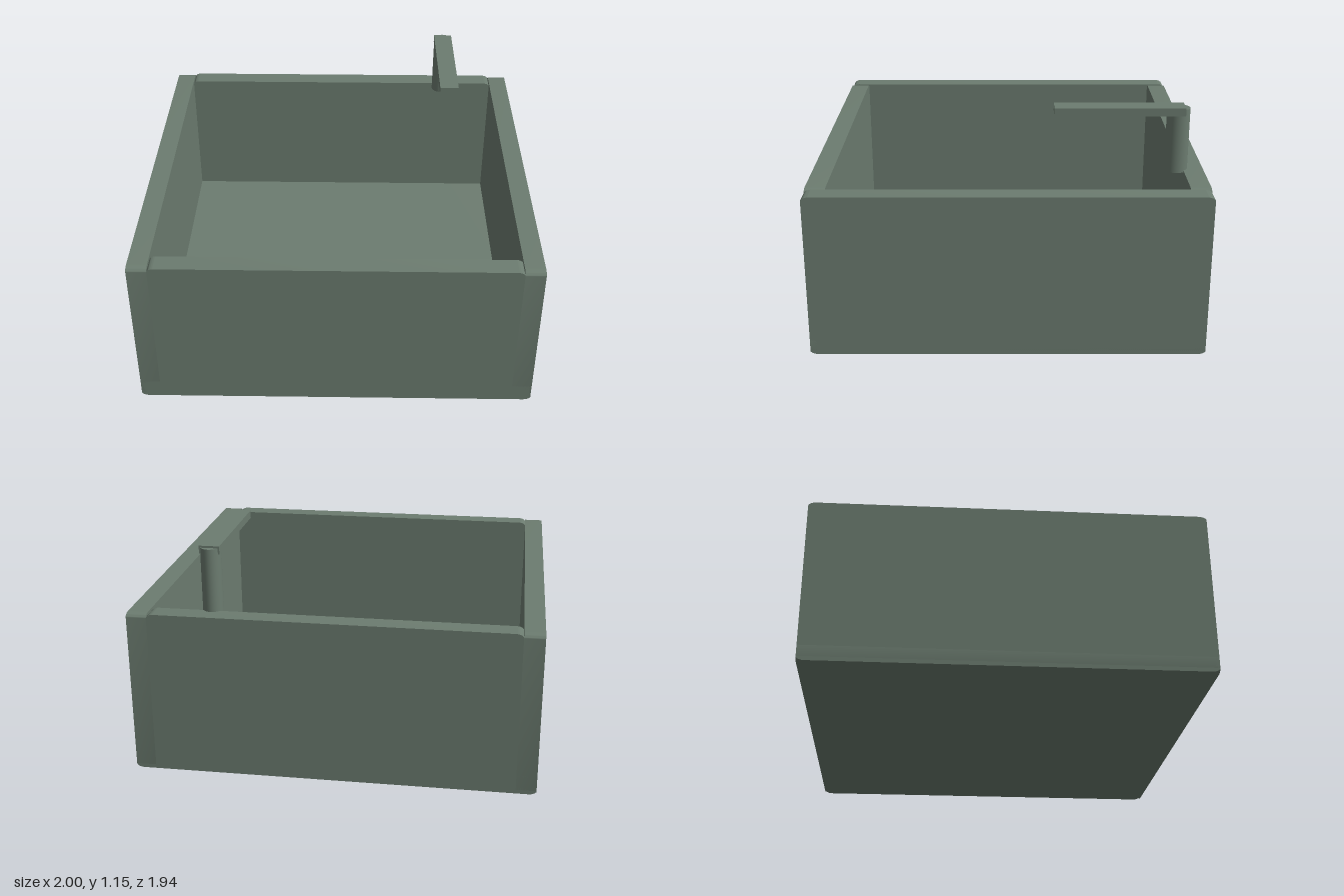
import * as THREE from 'three';
import { toCreasedNormals } from 'three/addons/utils/BufferGeometryUtils.js';

// Slab with softened corners in its face outline, centred on the origin, thickness along z
function softSlab(w, h, depth, rx = 0.04, ry = 0.02) {
  const s = new THREE.Shape();
  const x = w / 2, y = h / 2, q = Math.PI / 2;
  s.moveTo(x, -y + ry);
  s.absellipse(x - rx, y - ry, rx, ry, 0, q, false);
  s.absellipse(-x + rx, y - ry, rx, ry, q, 2 * q, false);
  s.absellipse(-x + rx, -y + ry, rx, ry, 2 * q, 3 * q, false);
  s.absellipse(x - rx, -y + ry, rx, ry, 3 * q, 4 * q, false);
  const g = new THREE.ExtrudeGeometry(s, { depth, bevelEnabled: false, curveSegments: 6 });
  g.translate(0, 0, -depth / 2);
  return toCreasedNormals(g, 0.6);
}

export function createModel() {
  const group = new THREE.Group();
  group.name = 'washbasin';
  const greyGreen = new THREE.MeshStandardMaterial({ color: 0x6c7c70 });
  greyGreen.name = 'greyGreen';

  const add = (name, geometry, x, y, z) => {
    const m = new THREE.Mesh(geometry, greyGreen);
    m.name = name;
    m.position.set(x, y, z);
    group.add(m);
    return m;
  };

  const height = 0.83, halfDepth = 0.97, wall = 0.1;

  // Basin floor
  add('basinFloor', softSlab(2, 0.095, halfDepth * 2), 0, 0.0475, 0);

  // Side walls run the full depth
  const sideGeo = softSlab(halfDepth * 2, height, wall).rotateY(Math.PI / 2);
  add('leftWall', sideGeo, 0.95, height / 2, 0);
  add('rightWall', sideGeo, -0.95, height / 2, 0);

  // Front and back walls fit between the sides
  const endGeo = softSlab(1.8, height, wall, 0.035, 0.02);
  add('frontWall', endGeo, 0, height / 2, halfDepth - wall / 2);
  add('backWall', endGeo, 0, height / 2, -halfDepth + wall / 2);

  // Tap: slightly oval post and flat spout
  const post = add('tapPost', new THREE.CylinderGeometry(0.05, 0.05, 0.325, 32), 0.6, 0.9825, -0.836);
  post.scale.z = 1.14;
  add('tapSpout', new THREE.BoxGeometry(0.1, 0.04, 0.64), 0.6, 1.135, -0.546);

  return group;
}
